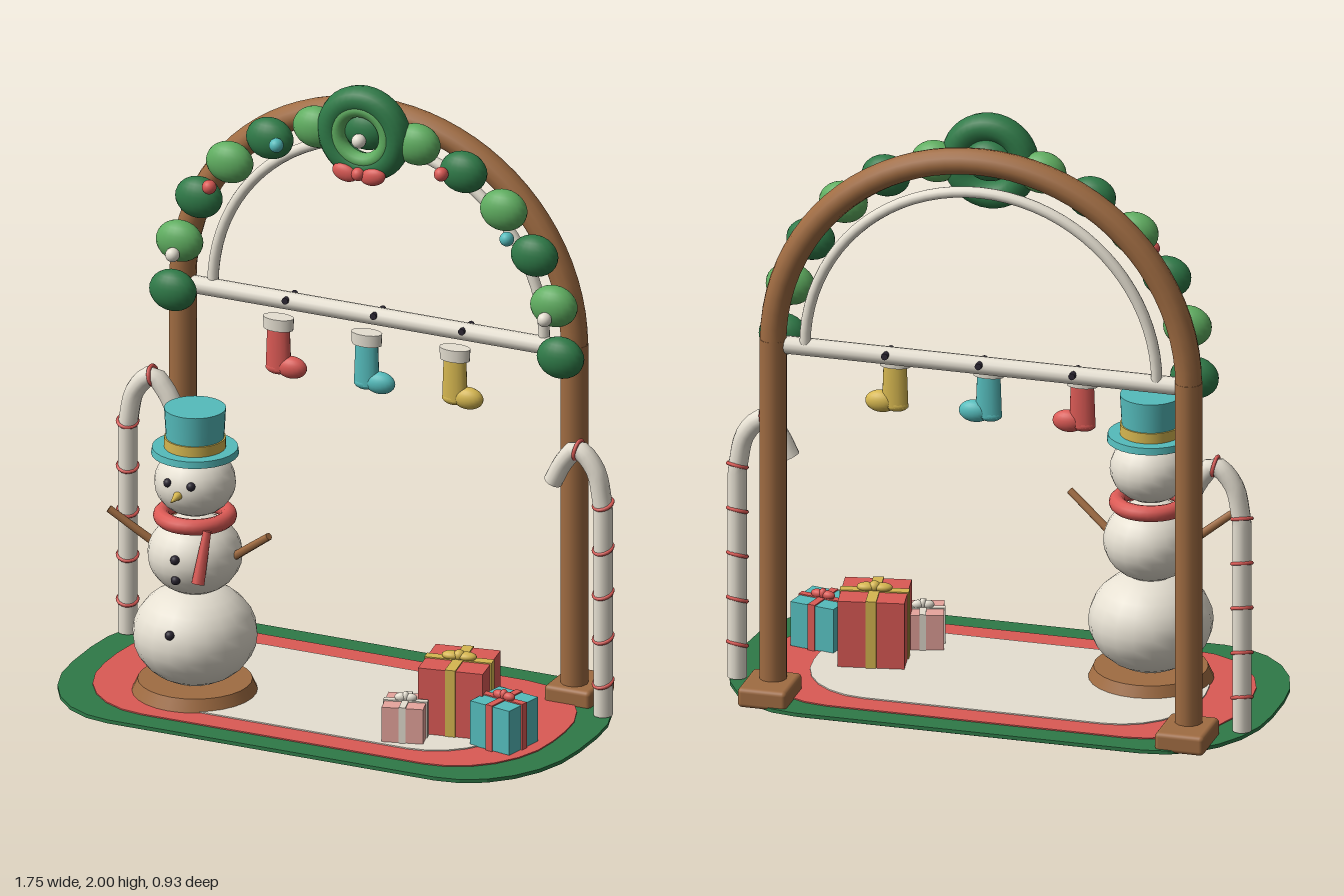
import * as THREE from 'three';
import { RoundedBoxGeometry } from 'three/addons/geometries/RoundedBoxGeometry.js';

const mat = (name, color) => {
  const m = new THREE.MeshStandardMaterial({ color });
  m.name = name;
  return m;
};
const M = {
  cream: mat('cream', 0xe6e0d2), red: mat('red', 0xdb5a55), teal: mat('teal', 0x55bcbc),
  yellow: mat('yellow', 0xd6b750), brown: mat('brown', 0xa06c42), pine: mat('pine', 0x2f7a48),
  leaf: mat('leaf', 0x5fad60), coal: mat('coal', 0x2b2632), pink: mat('pink', 0xeba8a0),
};
const V = (x, y, z) => new THREE.Vector3(x, y, z);

function add(parent, name, geo, material, x = 0, y = 0, z = 0) {
  const m = new THREE.Mesh(geo, material);
  m.name = name;
  m.position.set(x, y, z);
  parent.add(m);
  return m;
}

function group(parent, name, x = 0, y = 0, z = 0) {
  const g = new THREE.Group();
  g.name = name;
  g.position.set(x, y, z);
  parent.add(g);
  return g;
}

function ball(parent, name, material, x, y, z, rx, ry = rx, rz = rx) {
  const m = add(parent, name, new THREE.SphereGeometry(1, 20, 14), material, x, y, z);
  m.scale.set(rx, ry, rz);
  return m;
}

// Closed round bar between two points, r0 at a and r1 at b
function rod(parent, name, material, a, b, r0, r1 = r0, sides = 12) {
  const d = b.clone().sub(a);
  const m = add(parent, name, new THREE.CylinderGeometry(r1, r0, d.length(), sides), material);
  m.position.copy(a).add(b).multiplyScalar(0.5);
  m.quaternion.setFromUnitVectors(V(0, 1, 0), d.normalize());
  return m;
}

// Flat rug layer with elliptical corners
function rugLayer(parent, name, material, hx, hz, cx, cz, y, thick) {
  const s = new THREE.Shape();
  const corners = [[1, 1], [-1, 1], [-1, -1], [1, -1]];
  const pts = [];
  corners.forEach(([sx, sz], i) => {
    for (let k = 0; k <= 6; k++) {
      const a = (i + k / 6) * Math.PI / 2;
      pts.push(new THREE.Vector2(sx * (hx - cx) + cx * Math.cos(a), sz * (hz - cz) + cz * Math.sin(a)));
    }
  });
  s.setFromPoints(pts);
  const geo = new THREE.ExtrudeGeometry(s, { depth: thick, bevelEnabled: false });
  geo.rotateX(-Math.PI / 2);
  add(parent, name, geo, material, 0, y, 0);
}

function arch(parent, name, material, R, tube, y, z) {
  add(parent, name, new THREE.TorusGeometry(R, tube, 12, 40, Math.PI), material, 0, y, z);
}

function stocking(parent, x, material) {
  const g = group(parent, 'stocking', x, 0, -0.235);
  add(g, 'cuff', new THREE.CylinderGeometry(0.052, 0.05, 0.04, 16), M.cream, 0, 1.145, 0).scale.z = 0.6;
  add(g, 'leg', new THREE.CylinderGeometry(0.038, 0.043, 0.14, 16), material, 0, 1.06, 0).scale.z = 0.6;
  ball(g, 'heel', material, -0.003, 0.995, 0, 0.04, 0.022, 0.026);
  ball(g, 'foot', material, 0.045, 1.002, 0, 0.052, 0.036, 0.03);
  rod(g, 'peg', M.coal, V(0, 1.2, -0.122), V(0, 1.2, -0.045), 0.011);
}

function candyCane(parent, side) {
  const g = group(parent, 'candyCane', 0, 0, -0.225);
  const path = new THREE.CurvePath();
  const p = (x, y) => V(side * x, y, 0);
  path.add(new THREE.LineCurve3(p(0.822, 0.02), p(0.822, 0.72)));
  const bend = [p(0.822, 0.72), p(0.795, 0.84), p(0.735, 0.898), p(0.69, 0.855), p(0.65, 0.78)];
  path.add(new THREE.CatmullRomCurve3(bend));
  add(g, 'cane', new THREE.TubeGeometry(path, 40, 0.031, 12), M.cream);
  const end = bend[4].clone().sub(bend[3]).normalize();
  rod(g, 'tip', M.cream, bend[4].clone().addScaledVector(end, -0.01), bend[4].clone().addScaledVector(end, 0.003), 0.031);
  // Tilted stripe rings up the stem and one on the crook
  const ring = new THREE.TorusGeometry(0.031, 0.0065, 6, 18).rotateX(Math.PI / 2);
  for (let i = 0; i < 5; i++) {
    add(g, 'stripe', ring, M.red, side * 0.822, 0.13 + i * 0.15, 0).rotation.set(0.35, 0, side * 0.15);
  }
  add(g, 'stripe', ring, M.red, side * 0.735, 0.898, 0).rotation.z = Math.PI / 2 - side * 0.2;
}

function gift(parent, x, z, w, h, turn, paper, ribbon) {
  const g = group(parent, 'gift', x, 0.022, z);
  g.rotation.y = turn;
  const t = w * 0.16, o = 0.008;
  add(g, 'box', new THREE.BoxGeometry(w, h, w), paper, 0, h / 2, 0);
  add(g, 'ribbon', new THREE.BoxGeometry(t, h + o, w + o), ribbon, 0, h / 2, 0);
  add(g, 'ribbon', new THREE.BoxGeometry(w + o, h + o, t), ribbon, 0, h / 2, 0);
  for (const s of [-1, 1]) {
    ball(g, 'bowLoop', ribbon, s * w * 0.12, h + 0.012, 0, w * 0.15, 0.014, w * 0.1);
  }
  ball(g, 'bowKnot', ribbon, 0, h + 0.014, 0, w * 0.09, 0.018, w * 0.09);
}

function snowman(parent) {
  const g = group(parent, 'snowman', -0.422, 0, 0.13);
  add(g, 'stand', new THREE.CylinderGeometry(0.18, 0.198, 0.04, 28), M.brown, 0, 0.04, 0);
  ball(g, 'lowerBody', M.cream, 0, 0.215, 0, 0.197, 0.165, 0.197);
  ball(g, 'upperBody', M.cream, 0, 0.483, 0, 0.15, 0.13, 0.15);
  ball(g, 'head', M.cream, 0, 0.725, 0, 0.129, 0.11, 0.129);
  // Hat
  add(g, 'hatBrim', new THREE.CylinderGeometry(0.135, 0.138, 0.022, 28), M.teal, 0, 0.83, 0);
  add(g, 'hatBand', new THREE.CylinderGeometry(0.097, 0.097, 0.036, 28), M.yellow, 0, 0.857, 0);
  add(g, 'hatCrown', new THREE.CylinderGeometry(0.097, 0.09, 0.13, 28), M.teal, 0, 0.907, 0);
  // Face and buttons
  for (const s of [-1, 1]) ball(g, 'eye', M.coal, s * 0.04, 0.752, 0.115, 0.014);
  rod(g, 'nose', M.yellow, V(0, 0.72, 0.115), V(0, 0.715, 0.178), 0.017, 0.002);
  for (const [y, z] of [[0.51, 0.148], [0.44, 0.143], [0.27, 0.187]]) ball(g, 'button', M.coal, 0, y, z, 0.015);
  // Scarf
  add(g, 'scarf', new THREE.TorusGeometry(0.106, 0.026, 12, 32).rotateX(Math.PI / 2), M.red, 0, 0.61, 0);
  rod(g, 'scarfTail', M.red, V(0.075, 0.44, 0.138), V(0.088, 0.605, 0.098), 0.022, 0.014, 8);
  // Stick arms
  for (const s of [-1, 1]) rod(g, 'arm', M.brown, V(s * 0.12, 0.482, 0), V(s * 0.277, 0.6, 0.045), 0.014, 0.012, 8);
}

export function createModel() {
  const root = new THREE.Group();
  root.name = 'holidayArch';

  // Rug
  const rug = group(root, 'rug');
  rugLayer(rug, 'rugBacking', M.coal, 0.865, 0.458, 0.31, 0.39, 0, 0.005);
  rugLayer(rug, 'rugBorder', M.pine, 0.875, 0.467, 0.31, 0.4, 0.004, 0.012);
  rugLayer(rug, 'rugBand', M.red, 0.775, 0.385, 0.29, 0.34, 0.014, 0.006);
  rugLayer(rug, 'rugCentre', M.cream, 0.63, 0.3, 0.24, 0.27, 0.018, 0.006);

  // Wooden frame
  const frame = group(root, 'frame');
  for (const s of [-1, 1]) {
    add(frame, 'postBase', new RoundedBoxGeometry(0.16, 0.065, 0.19, 3, 0.015), M.brown, s * 0.68, 0.037, -0.352);
    rod(frame, 'post', M.brown, V(s * 0.677, 0.04, -0.323), V(s * 0.677, 1.21, -0.323), 0.044);
  }
  arch(frame, 'outerArch', M.brown, 0.677, 0.043, 1.2, -0.323);
  arch(frame, 'innerArch', M.cream, 0.573, 0.018, 1.2, -0.323);
  rod(frame, 'crossbar', M.cream, V(-0.64, 1.19, -0.315), V(0.64, 1.19, -0.315), 0.029);

  // Garland of alternating tufts
  const garland = group(root, 'garland');
  for (let i = 0; i <= 12; i++) {
    const a = i * Math.PI / 12;
    ball(garland, 'tuft', i % 2 ? M.leaf : M.pine, 0.67 * Math.cos(a), 1.193 + 0.657 * Math.sin(a), -0.235, 0.079, 0.068, 0.05);
  }
  const baubles = [
    [-0.644, 1.337, M.cream], [-0.517, 1.587, M.red], [-0.285, 1.767, M.teal],
    [0, 1.83, M.cream], [0.285, 1.767, M.red], [0.512, 1.587, M.teal], [0.642, 1.337, M.cream],
  ];
  for (const [x, y, m] of baubles) ball(garland, 'bauble', m, x, y, -0.176, 0.023);

  // Wreath with bow
  const wreath = group(root, 'wreath', 0, 1.842, -0.217);
  add(wreath, 'wreathRing', new THREE.TorusGeometry(0.113, 0.045, 14, 36), M.pine);
  add(wreath, 'wreathInnerRing', new THREE.TorusGeometry(0.086, 0.026, 12, 36), M.leaf, 0, 0, 0.016);
  for (const s of [-1, 1]) {
    ball(wreath, 'bowLoop', M.red, s * 0.048, -0.125, 0.04, 0.044, 0.029, 0.02).rotation.z = s * 0.25;
  }
  ball(wreath, 'bowKnot', M.red, 0, -0.122, 0.045, 0.022);

  // Stockings, canes, snowman and gifts
  [[-0.305, M.red], [0, M.teal], [0.305, M.yellow]].forEach(([x, m]) => stocking(root, x, m));
  for (const s of [-1, 1]) candyCane(root, s);
  snowman(root);
  gift(root, 0.455, 0.052, 0.21, 0.222, 0.17, M.red, M.yellow);
  gift(root, 0.645, 0.127, 0.152, 0.148, -0.2, M.teal, M.red);
  gift(root, 0.342, 0.205, 0.132, 0.118, 0.27, M.pink, M.cream);
  return root;
}
